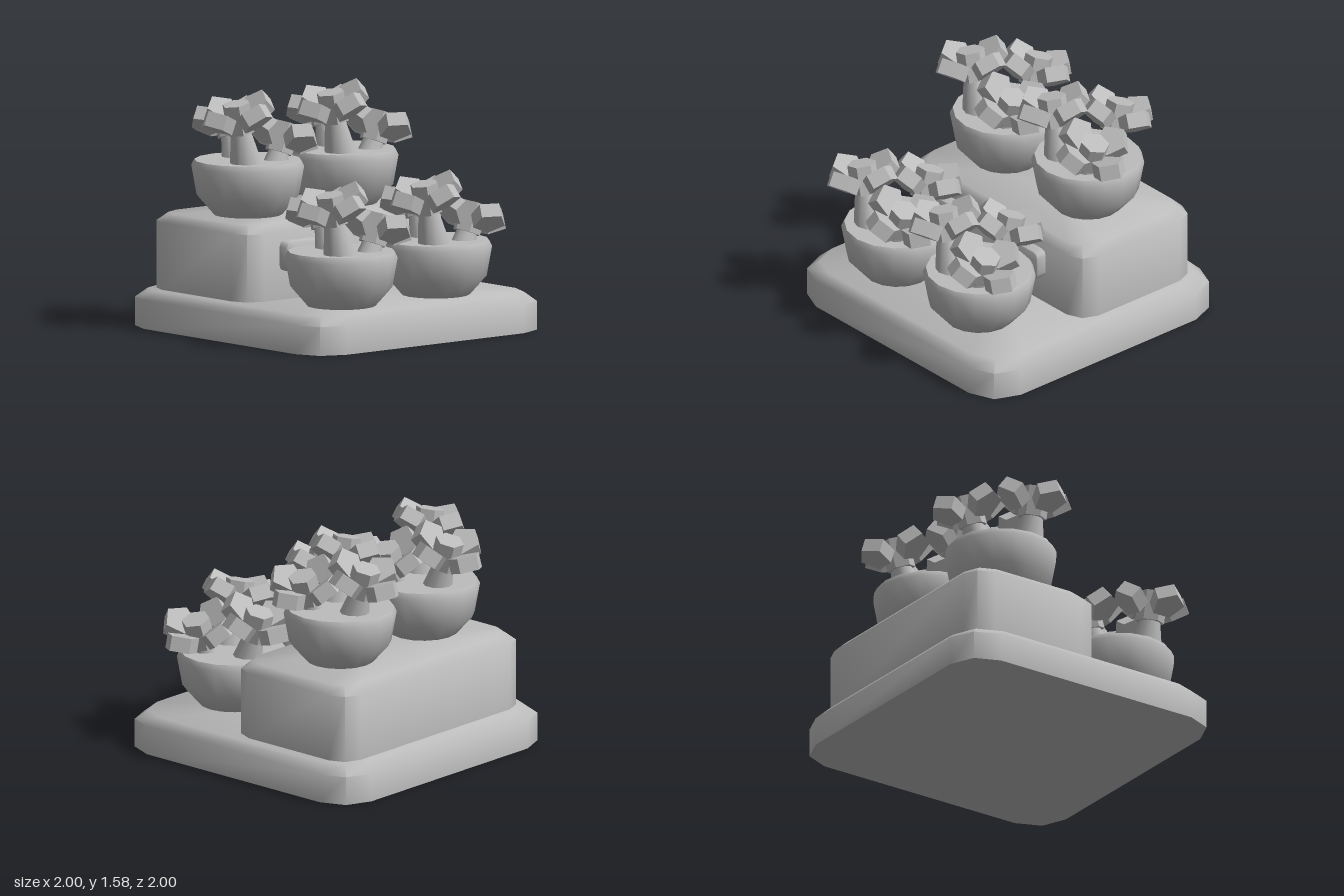
import * as THREE from 'three';
import { toCreasedNormals } from 'three/addons/utils/BufferGeometryUtils.js';

const grey = new THREE.MeshStandardMaterial({ color: 0xbcbcbc });
grey.name = 'grey';

function mesh(name, geometry, parent) {
  const m = new THREE.Mesh(geometry, grey);
  m.name = name;
  parent.add(m);
  return m;
}

// Flat-shaded copy of a geometry
function faceted(geometry) {
  const g = geometry.toNonIndexed();
  g.computeVertexNormals();
  return g;
}

// Block standing on y = 0 with cut corners (size r) and a bevelled top edge
function slab(w, d, h, r, bevel) {
  const pos = [], idx = [];
  const rings = [[0, 0], [h - bevel, 0], [h, bevel]];
  const q = r * 0.29; // inset of the middle corner point
  for (const [y, inset] of rings) {
    const X = w / 2 - inset, Z = d / 2 - inset;
    const corner = [[X, Z - r], [X - q, Z - q], [X - r, Z]];
    const mirrored = corner.slice().reverse();
    const loop = [
      ...corner,
      ...mirrored.map(([x, z]) => [-x, z]),
      ...corner.map(([x, z]) => [-x, -z]),
      ...mirrored.map(([x, z]) => [x, -z]),
    ];
    for (const [x, z] of loop) pos.push(x, y, z);
  }
  const n = 12, bottom = n * 3, top = bottom + 1;
  pos.push(0, 0, 0, 0, h, 0);
  for (let i = 0; i < n; i++) {
    const j = (i + 1) % n;
    for (let k = 0; k < 2; k++) {
      const a = k * n + i, b = k * n + j;
      idx.push(a, a + n, b, b, a + n, b + n);
    }
    idx.push(bottom, i, j, top, 2 * n + j, 2 * n + i);
  }
  const g = new THREE.BufferGeometry();
  g.setAttribute('position', new THREE.Float32BufferAttribute(pos, 3));
  g.setIndex(idx);
  return toCreasedNormals(g, Math.PI / 3);
}

// Bowl profile, closed at the base and at the soil
const potGeometry = toCreasedNormals(new THREE.LatheGeometry(
  [[0, 0], [0.225, 0], [0.335, 0.125], [0.37, 0.32], [0.35, 0.36], [0, 0.36]]
    .map(([x, y]) => new THREE.Vector2(x, y)), 16), Math.PI / 3);

// Flower parts, with the origin where the petals meet the stem
const stemGeometry = new THREE.CylinderGeometry(0.07, 0.12, 0.28, 10).translate(0, -0.14, 0);
const heartGeometry = faceted(
  new THREE.CylinderGeometry(0.095, 0.095, 0.2, 6, 1, false, Math.PI / 6).translate(0, 0.1, 0));
const petalGeometry = faceted(
  new THREE.CylinderGeometry(0.11, 0.11, 0.1, 5).translate(0, 0, 0.21).rotateX(-0.61));

function flower(name, position, leanX, leanZ) {
  const g = new THREE.Group();
  g.name = name;
  g.position.set(...position);
  g.rotation.set(leanX, 0, leanZ);
  mesh('stem', stemGeometry, g);
  mesh('flowerHeart', heartGeometry, g);
  for (let k = 0; k < 4; k++) mesh('petal', petalGeometry, g).rotation.y = k * Math.PI / 2;
  return g;
}

function pottedPlant(x, y, z) {
  const g = new THREE.Group();
  g.name = 'pottedPlant';
  g.position.set(x, y, z);
  mesh('pot', potGeometry, g);
  g.add(
    flower('tallFlower', [-0.17, 0.565, 0.13], 0, 0.21),
    flower('rearFlower', [0.03, 0.49, -0.2], -0.31, 0),
    flower('lowFlower', [0.155, 0.405, 0.13], 0, -0.36));
  return g;
}

export function createModel() {
  const model = new THREE.Group();
  model.name = 'flowerStand';

  // Stand: broad base with a raised rear step
  mesh('base', slab(2, 2, 0.25, 0.24, 0.06), model);
  mesh('step', slab(1.75, 1, 0.5, 0.15, 0.055), model).position.set(0, 0.25, -0.375);

  for (const x of [-0.442, 0.368]) {
    // Small plaque on the step behind each front pot
    const plaque = mesh('plaque', slab(0.3, 0.2, 0.1, 0.04, 0.005), model);
    plaque.rotation.x = Math.PI / 2;
    plaque.position.set(x, 0.54, 0.1);

    model.add(pottedPlant(x, 0.25, 0.57), pottedPlant(x, 0.75, -0.37));
  }
  return model;
}
